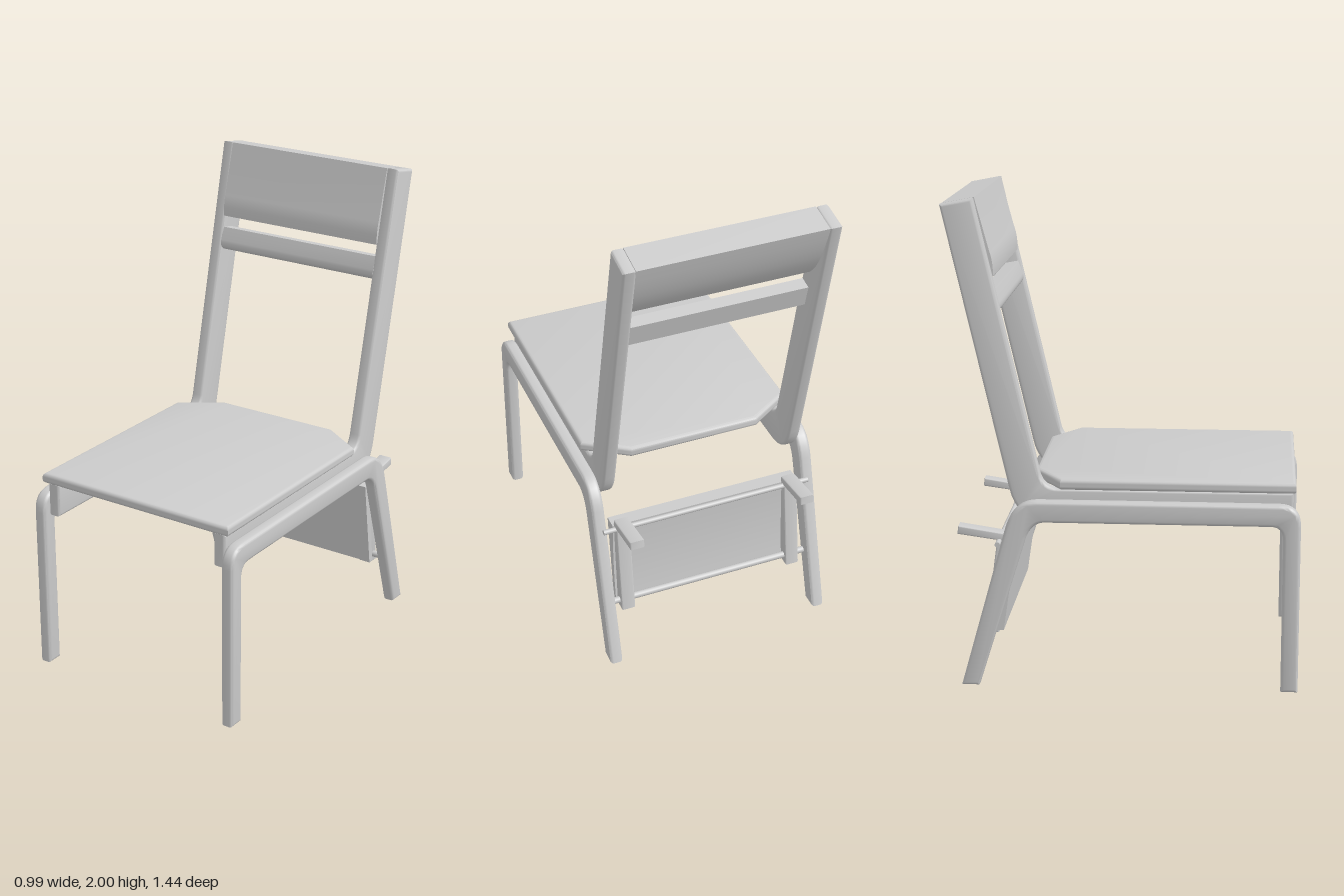
import * as THREE from 'three';
import { toCreasedNormals } from 'three/addons/utils/BufferGeometryUtils.js';

const material = new THREE.MeshStandardMaterial({ color: 0xcccccc });

// Shape with bevelled edges, extruded and centred on its depth
function slab(shape, depth, bevel) {
  const g = new THREE.ExtrudeGeometry(shape, {
    depth: depth - 2 * bevel, curveSegments: 8, bevelEnabled: bevel > 0,
    bevelSize: bevel, bevelThickness: bevel, bevelOffset: -bevel, bevelSegments: 3,
  });
  g.translate(0, 0, -(depth - 2 * bevel) / 2);
  return toCreasedNormals(g, 0.6);
}

// Side profile drawn in (z, y), extruded across x
const sideSlab = (shape, width, bevel = 0) => slab(shape, width, bevel).rotateY(-Math.PI / 2);

const polygon = (points) => new THREE.Shape(points.map(([a, b]) => new THREE.Vector2(a, b)));

function add(parent, name, geometry, x = 0, y = 0, z = 0) {
  const mesh = new THREE.Mesh(geometry, material);
  mesh.name = name;
  mesh.position.set(x, y, z);
  parent.add(mesh);
  return mesh;
}

// Front leg, side rail and splayed back leg in one bent piece
function legShape() {
  const s = new THREE.Shape();
  s.moveTo(0.72, 0);
  s.lineTo(0.72, 0.7);
  s.quadraticCurveTo(0.72, 0.79, 0.63, 0.79);
  s.lineTo(-0.34, 0.79);
  s.quadraticCurveTo(-0.435, 0.79, -0.47, 0.68);
  s.lineTo(-0.66, 0);
  s.lineTo(-0.587, 0);
  s.lineTo(-0.39, 0.63);
  s.quadraticCurveTo(-0.365, 0.7, -0.31, 0.7);
  s.lineTo(0.6, 0.7);
  s.quadraticCurveTo(0.65, 0.7, 0.65, 0.64);
  s.lineTo(0.65, 0);
  s.closePath();
  return s;
}

// Seat rail that bends up into the back post
function postShape() {
  const s = new THREE.Shape();
  s.moveTo(0.69, 0.69);
  s.lineTo(0.69, 0.83);
  s.lineTo(-0.26, 0.83);
  s.quadraticCurveTo(-0.32, 0.83, -0.335, 0.89);
  s.lineTo(-0.59, 2);
  s.lineTo(-0.72, 1.975);
  s.lineTo(-0.46, 0.83);
  s.quadraticCurveTo(-0.43, 0.69, -0.3, 0.69);
  s.closePath();
  return s;
}

// Top panel: thick at the top, its back sweeping in to a thin lower edge
function backrestShape() {
  const s = new THREE.Shape();
  s.moveTo(-0.588, 2);
  s.lineTo(-0.718, 1.975);
  s.quadraticCurveTo(-0.65, 1.74, -0.545, 1.68);
  s.lineTo(-0.518, 1.685);
  s.quadraticCurveTo(-0.514, 1.74, -0.532, 1.79);
  s.closePath();
  return s;
}

// Thin cross slat with a rounded front
function slatShape() {
  const s = new THREE.Shape();
  s.moveTo(-0.515, 1.635);
  s.lineTo(-0.57, 1.625);
  s.lineTo(-0.545, 1.53);
  s.quadraticCurveTo(-0.482, 1.53, -0.495, 1.58);
  s.closePath();
  return s;
}

export function createModel() {
  const chair = new THREE.Group();
  chair.name = 'chair';

  const legGeometry = sideSlab(legShape(), 0.055, 0.014);
  const postGeometry = sideSlab(postShape(), 0.055, 0.012);
  for (const [side, label] of [[1, 'left'], [-1, 'right']]) {
    add(chair, label + 'Legs', legGeometry, side * 0.467);
    add(chair, label + 'BackPost', postGeometry, side * 0.412);
  }

  // Seat board with cut back corners
  const seat = slab(polygon([
    [-0.46, -0.7], [0.46, -0.7], [0.46, 0.25], [0.28, 0.367], [-0.28, 0.367], [-0.46, 0.25],
  ]), 0.045, 0.016).rotateX(-Math.PI / 2);
  add(chair, 'seat', seat, 0, 0.852);

  add(chair, 'backrest', sideSlab(backrestShape(), 0.775));
  add(chair, 'backSlat', sideSlab(slatShape(), 0.775));

  // Hanging rear panel with its brackets and rods
  const rear = new THREE.Group();
  rear.name = 'rearPanel';
  chair.add(rear);

  const board = new THREE.Shape();
  board.moveTo(-0.435, 0.605);
  board.lineTo(-0.495, 0.605);
  board.quadraticCurveTo(-0.488, 0.4, -0.52, 0.215);
  board.lineTo(-0.493, 0.215);
  board.closePath();
  add(rear, 'panelBoard', sideSlab(board, 0.83));

  const arm = sideSlab(polygon([
    [-0.48, 0.61], [-0.515, 0.61], [-0.57, 0.2], [-0.515, 0.2],
  ]), 0.06, 0.006);
  const peg = sideSlab(polygon([
    [-0.485, 0.595], [-0.485, 0.628], [-0.675, 0.657], [-0.68, 0.622],
  ]), 0.062, 0.006);
  for (const side of [1, -1]) {
    add(rear, 'panelArm', arm, side * 0.377);
    add(rear, 'panelPeg', peg, side * 0.377);
  }

  const rod = (length, radius) =>
    new THREE.CylinderGeometry(radius, radius, length, 16).rotateZ(Math.PI / 2);
  add(rear, 'upperRod', rod(0.92, 0.011), 0, 0.595, -0.508);
  add(rear, 'lowerRod', rod(0.89, 0.014), 0, 0.237, -0.54);

  return chair;
}
